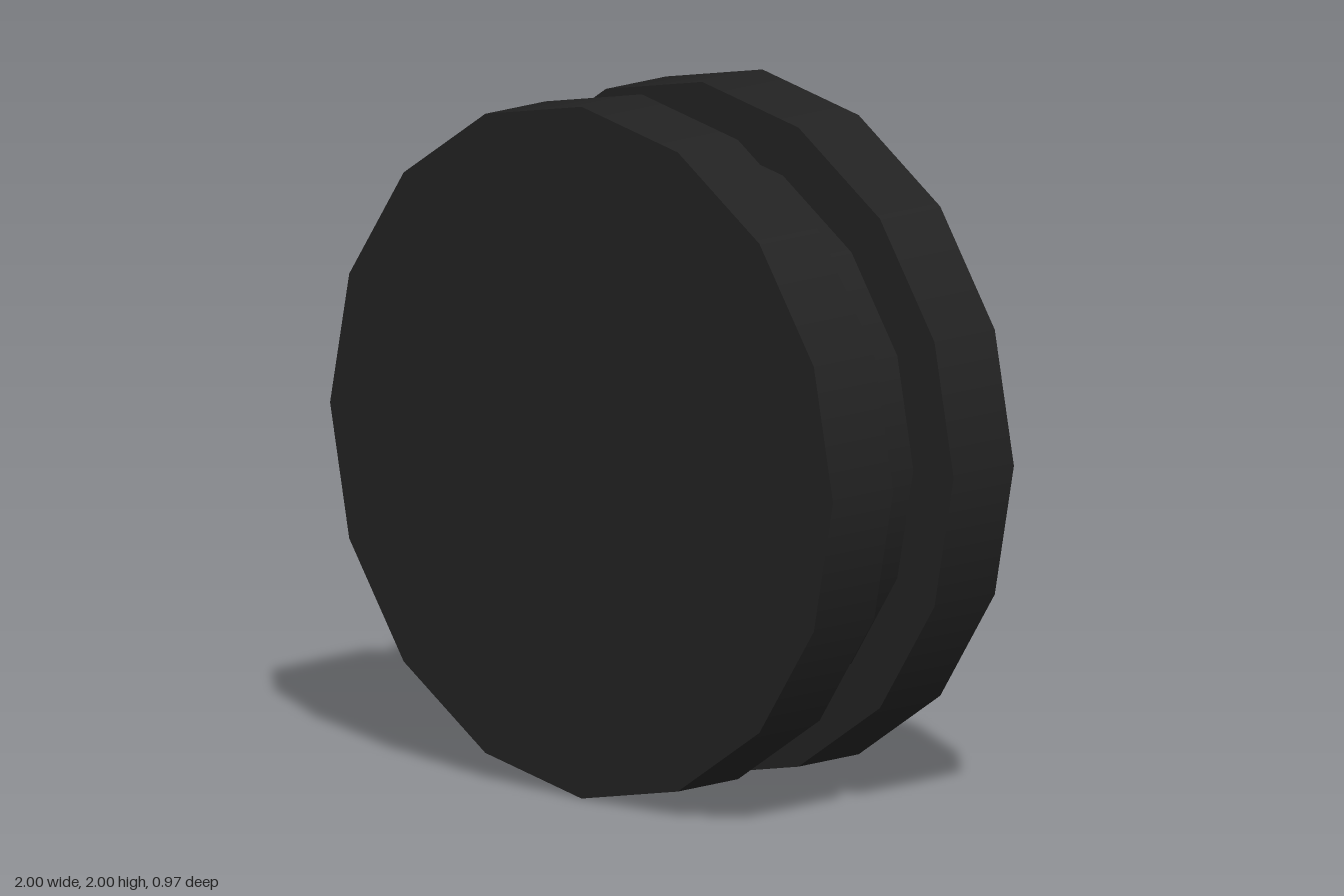
import * as THREE from 'three';

export function createModel() {
  const rubber = new THREE.MeshStandardMaterial({ color: 0x222222 });
  rubber.name = 'black rubber';
  const metal = new THREE.MeshStandardMaterial({ color: 0x4d4d4d });
  metal.name = 'grey metal';

  const model = new THREE.Group();
  model.name = 'groovedWheel';

  const SIDES = 16;
  const DEPTH = 0.243; // every disc has the same thickness

  // Disc with its axis along z and a corner pointing straight up
  function addDisc(name, radius, z, material) {
    const geometry = new THREE.CylinderGeometry(radius, radius, DEPTH, SIDES);
    geometry.rotateX(Math.PI / 2);
    const disc = new THREE.Mesh(geometry, material);
    disc.name = name;
    disc.position.set(0, 1, z);
    model.add(disc);
  }

  // Front to back: flange, recessed groove, flange, hub
  addDisc('frontFlange', 1, DEPTH * 1.5, rubber);
  addDisc('grooveCore', 0.84, DEPTH * 0.5, rubber);
  addDisc('backFlange', 1, -DEPTH * 0.5, rubber);
  addDisc('rearHub', 0.437, -DEPTH * 1.5, metal);

  return model;
}
